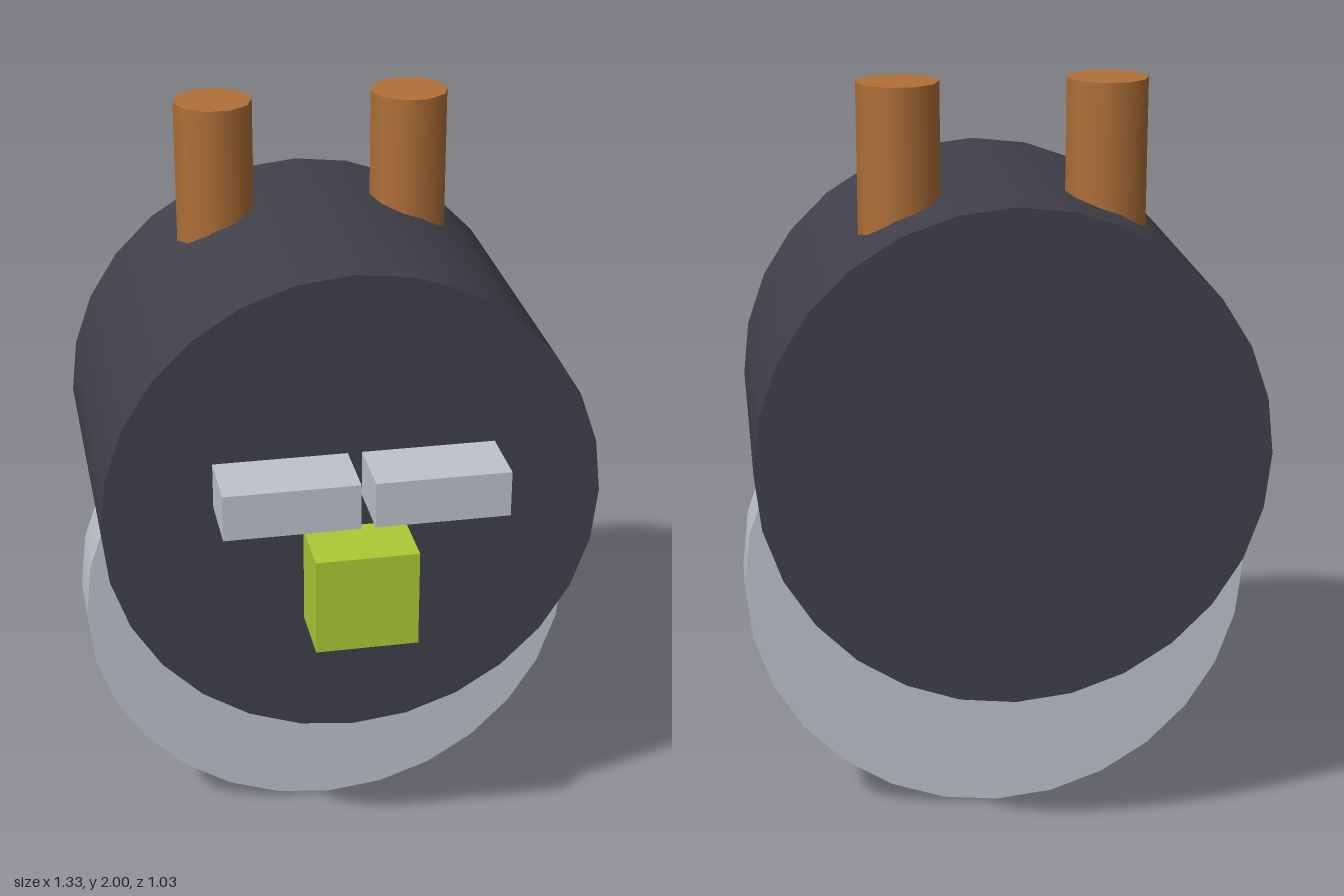
import * as THREE from 'three';

export function createModel() {
  const group = new THREE.Group();
  const paint = (name, color) => {
    const m = new THREE.MeshStandardMaterial({ color });
    m.name = name;
    return m;
  };
  const charcoal = paint('charcoal', 0x40404a);
  const silver = paint('silver', 0xc0c3cc);
  const copper = paint('copper', 0xb07038);
  const lime = paint('lime', 0xadca34);

  const add = (name, geometry, material, x, y, z) => {
    const mesh = new THREE.Mesh(geometry, material);
    mesh.name = name;
    mesh.position.set(x, y, z);
    group.add(mesh);
  };
  // cylinder lying along z, between two depths
  const drum = (name, radius, y, back, front, material) =>
    add(name, new THREE.CylinderGeometry(radius, radius, front - back, 28).rotateX(Math.PI / 2),
      material, 0, y, (back + front) / 2);

  // head and the thin disc hanging below it
  drum('head', 0.64, 1.1, -0.515, 0.34, charcoal);
  drum('lowerDisc', 0.667, 0.667, -0.17, 0, silver);

  // ten-sided posts on top and eye blocks, one per side
  for (const [side, s] of [['left', 1], ['right', -1]]) {
    add(side + 'Horn', new THREE.CylinderGeometry(0.102, 0.102, 0.6, 10).rotateY(Math.PI / 2),
      copper, s * 0.257, 1.7, -0.258);
    add(side + 'Eye', new THREE.BoxGeometry(0.34, 0.12, 0.24), silver, s * 0.188, 1.206, 0.395);
  }

  // nose block
  add('nose', new THREE.BoxGeometry(0.262, 0.257, 0.24), lime, 0, 0.932, 0.395);
  return group;
}
